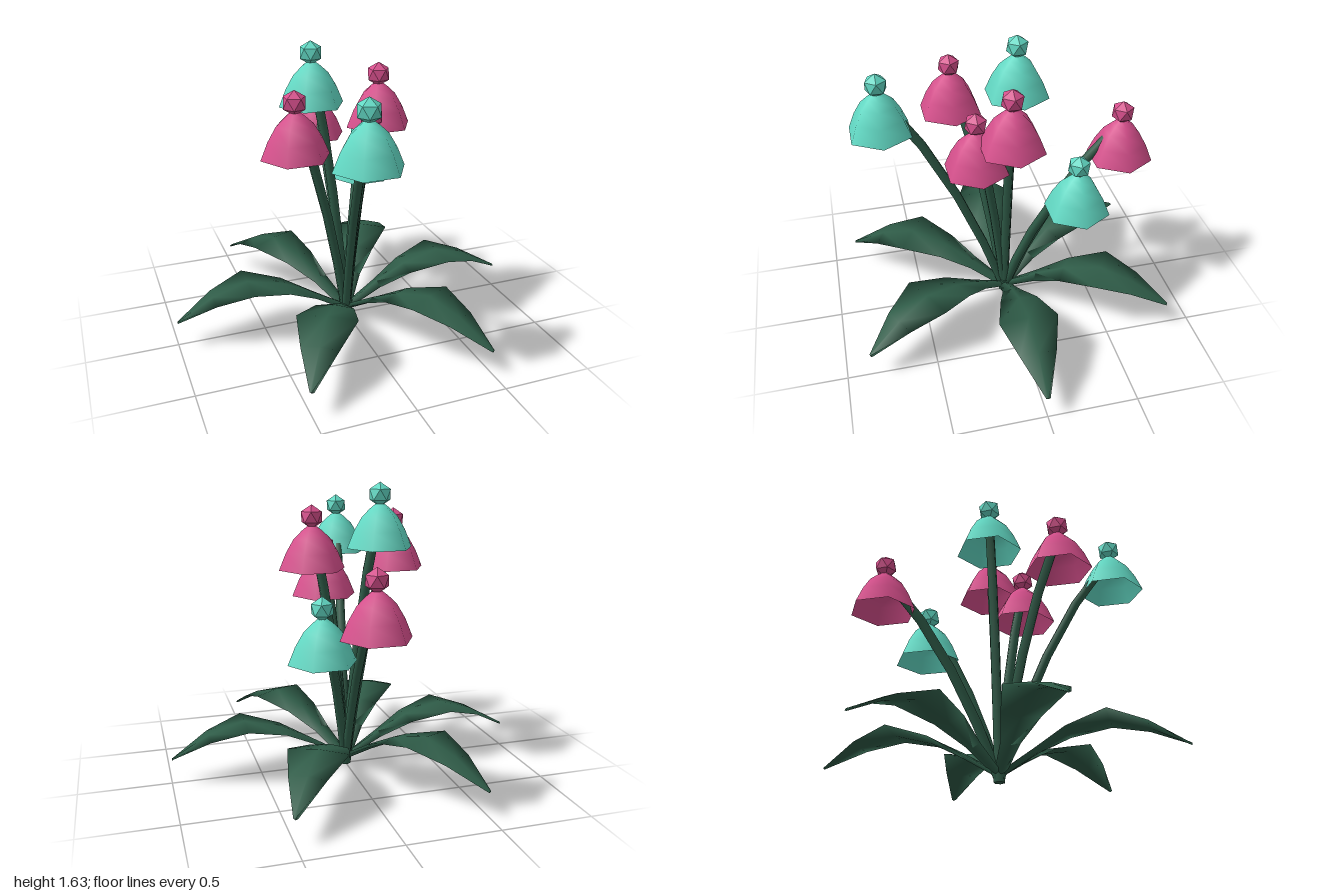
import * as THREE from 'three';

const green = new THREE.MeshStandardMaterial({ color: 0x2f5c48, side: THREE.DoubleSide });
const makePetal = (color) => ({
  bell: new THREE.MeshStandardMaterial({ color, side: THREE.DoubleSide }),
  ball: new THREE.MeshStandardMaterial({ color, flatShading: true }),
});
const pink = makePetal(0xd64f8c);
const teal = makePetal(0x62d9c4);

// x, z, height of the bell rim, colour
const FLOWERS = [
  [-0.16, -0.11, 1.28, teal],
  [-0.13, 0.65, 1.16, teal],
  [-0.36, 0.23, 1.11, pink],
  [0.19, 0, 1.16, pink],
  [0.08, 0.17, 0.98, pink],
  [0.04, -0.66, 0.92, pink],
  [0.23, -0.36, 0.73, teal],
];

// Leaf stations: distance from the centre, height, half width, half thickness
const LEAF = [
  [0, 0.04, 0.03, 0.018],
  [0.2, 0.16, 0.055, 0.016],
  [0.37, 0.25, 0.107, 0.014],
  [0.59, 0.31, 0.165, 0.012],
  [0.79, 0.25, 0.1, 0.01],
  [0.995, 0.14, 0.012, 0.007],
];

// Arched leaf lofted from diamond cross-sections
function leafGeometry() {
  const pos = [];
  const idx = [];
  for (const [r, y, w, t] of LEAF) {
    pos.push(r, y, w, r, y + t, 0, r, y, -w, r, y - t, 0);
  }
  for (let i = 0; i < LEAF.length - 1; i++) {
    for (let j = 0; j < 4; j++) {
      const a = i * 4 + j;
      const b = i * 4 + ((j + 1) % 4);
      idx.push(a, a + 4, b, b, a + 4, b + 4);
    }
  }
  const e = (LEAF.length - 1) * 4;
  idx.push(0, 1, 2, 0, 2, 3, e, e + 2, e + 1, e, e + 3, e + 2);
  const g = new THREE.BufferGeometry();
  g.setAttribute('position', new THREE.Float32BufferAttribute(pos, 3));
  g.setIndex(idx);
  g.computeVertexNormals();
  return g;
}

// Six-sided bell, open below, with corners on the x axis
function bellGeometry() {
  const profile = [[0.185, 0], [0.145, 0.095], [0.1, 0.17], [0.055, 0.212], [0.025, 0.235]]
    .map(([r, y]) => new THREE.Vector2(r, y));
  return new THREE.LatheGeometry(profile, 6, Math.PI / 6);
}

// Stem that rises steeply, then leans out to the flower
function stemGeometry(x, y, z) {
  const curve = new THREE.QuadraticBezierCurve3(
    new THREE.Vector3(0, 0.015, 0),
    new THREE.Vector3(x * 0.42, y * 0.66, z * 0.42),
    new THREE.Vector3(x, y, z),
  );
  return new THREE.TubeGeometry(curve, 4, 0.027, 6);
}

export function createModel() {
  const model = new THREE.Group();
  const add = (parent, name, geometry, material) => {
    const mesh = new THREE.Mesh(geometry, material);
    mesh.name = name;
    parent.add(mesh);
    return mesh;
  };

  // Rosette of leaves
  const leaf = leafGeometry();
  for (let i = 0; i < 6; i++) {
    add(model, 'leaf', leaf, green).rotation.y = (i * Math.PI) / 3;
  }

  // Short crown joining leaves and stems
  add(model, 'crown', new THREE.CylinderGeometry(0.04, 0.03, 0.09, 6), green).position.y = 0.045;

  // Flowers: stem, bell and the ball on top (one corner pointing up)
  const bell = bellGeometry();
  const ball = new THREE.IcosahedronGeometry(0.066, 0);
  ball.rotateZ(-Math.atan(2 / (1 + Math.sqrt(5))));
  for (const [x, z, y, petal] of FLOWERS) {
    const flower = new THREE.Group();
    flower.name = 'flower';
    add(flower, 'stem', stemGeometry(x, y + 0.225, z), green);
    add(flower, 'bell', bell, petal.bell).position.set(x, y, z);
    add(flower, 'ball', ball, petal.ball).position.set(x, y + 0.285, z);
    model.add(flower);
  }
  return model;
}
